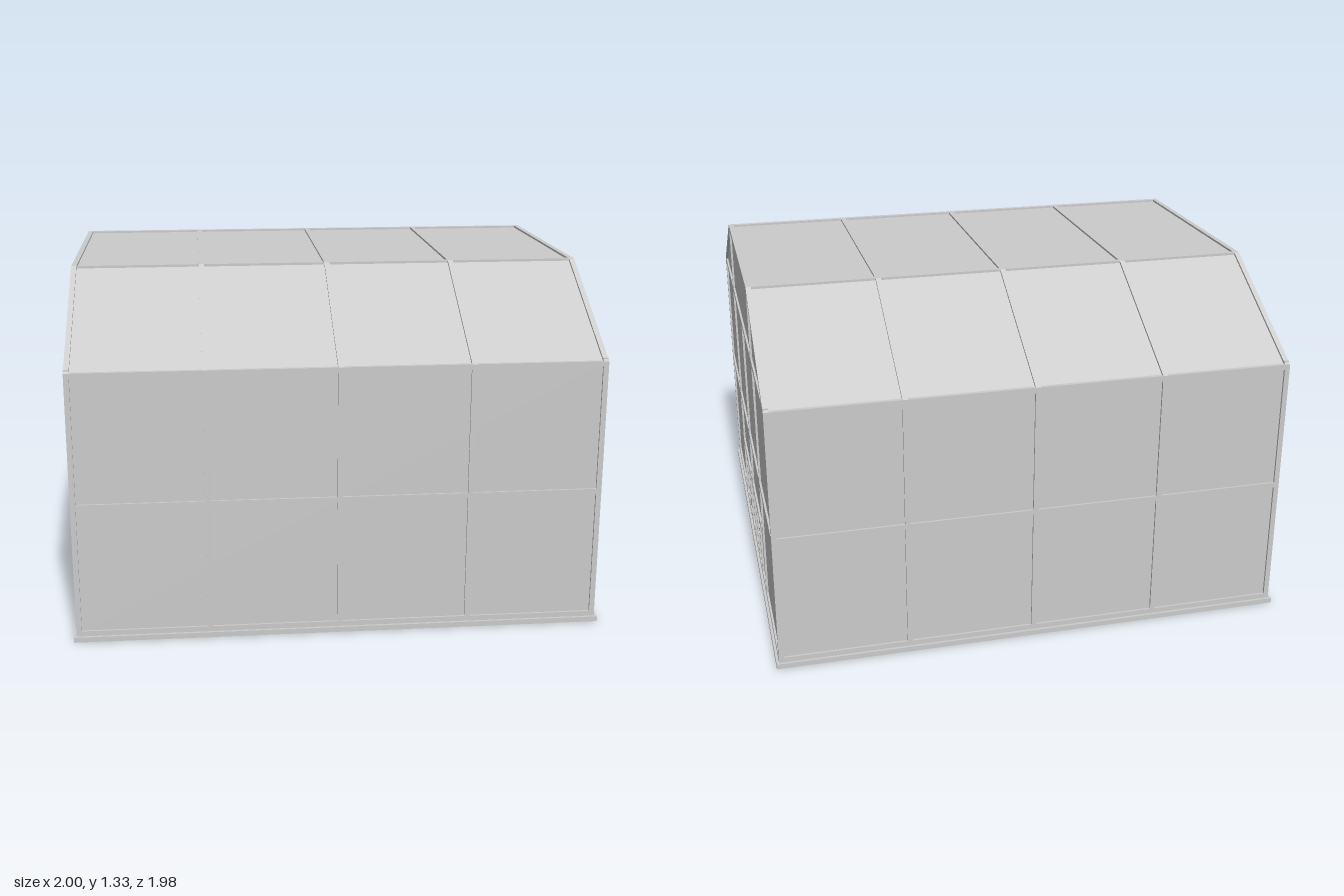
import * as THREE from 'three';

const T = 0.02;   // bar thickness
const X = 0.98;   // centre plane of the end frames

// Gambrel-shaped house section, moved inward by d with mitred corners
function section(d) {
  const half = [
    [0.98 - d, 0.02 + d],
    [0.98 - d, 1.035 - 0.58 * d],
    [0.466 - 0.27 * d, 1.33 - d],
  ];
  const mirrored = half.map(([z, y]) => [-z, y]).reverse();
  return [...half, ...mirrored].map(([z, y]) => new THREE.Vector2(z, y));
}

export function createModel() {
  const group = new THREE.Group();
  const material = new THREE.MeshStandardMaterial({ color: 0xcccccc, side: THREE.DoubleSide });

  function add(name, geometry, parent = group) {
    const mesh = new THREE.Mesh(geometry, material);
    mesh.name = name;
    parent.add(mesh);
    return mesh;
  }

  function box(name, w, h, d, x, y, z, parent = group) {
    const mesh = add(name, new THREE.BoxGeometry(w, h, d), parent);
    mesh.position.set(x, y, z);
    return mesh;
  }

  // Section extruded along x, centred on the given x
  function extrudeSection(name, outer, inner, length, x) {
    const shape = new THREE.Shape(section(outer));
    if (inner !== null) shape.holes.push(new THREE.Path(section(inner)));
    const geometry = new THREE.ExtrudeGeometry(shape, { depth: length, bevelEnabled: false });
    geometry.translate(0, 0, -length / 2).rotateY(Math.PI / 2).translate(x, 0, 0);
    return add(name, geometry);
  }

  // Floor slab
  box('floorSlab', 2, T, 1.98, 0, T / 2, 0);

  // Glazing: walls and roof as one thin sleeve, plus the two end sheets
  extrudeSection('wallAndRoofPanels', 0.008, 0.012, 2 * X, 0);
  for (const s of [-1, 1]) extrudeSection('endPanel', 0.01, null, 0.004, s * X);

  // Ribs that follow the section at each bay
  for (const x of [-X, -0.49, 0, 0.49, X]) extrudeSection('rib', 0, T, T, x);

  // Long rails at sill, mid wall, eaves and roof bend
  for (const s of [-1, 1]) {
    for (const [y, z] of [[0.03, 0.97], [0.53, 0.97], [1.025, 0.97], [1.32, 0.456]]) {
      box('longRail', 2 * X, T, T, 0, y, s * z);
    }
  }

  // End walls
  for (const side of [-1, 1]) {
    const end = new THREE.Group();
    end.name = 'endWall';
    group.add(end);
    const x = side * X;

    const post = (name, z, y0, y1, w = T) =>
      box(name, T, y1 - y0, w, x, (y0 + y1) / 2, z, end);
    const rail = (name, y, width) => box(name, T, T, width, x, y, 0, end);

    rail('eavesRail', 1.035, 1.94);
    rail('middleRail', 0.53, 1.94);
    rail('doorHeader', 0.295, 0.98);
    post('centrePost', 0, 0.03, 1.035, 0.016);

    for (const m of [-1, 1]) {
      post('wallPost', m * 0.485, 0.03, 1.035, 0.018);
      post('gablePost', m * 0.457, 1.035, 1.32, 0.016);
      post('outerDoorPost', m * 0.31, 0.03, 0.295, 0.016);
      post('innerDoorPost', m * 0.165, 0.03, 0.295, 0.016);

      // Diagonal door brace, from the outer foot to the inner head
      const brace = box('doorBrace', 0.014, Math.hypot(0.125, 0.245), 0.008,
        x, 0.163, m * 0.239, end);
      brace.rotation.x = -m * Math.atan2(0.125, 0.245);

      // Door handle
      box('doorHandle', 0.024, 0.008, 0.014, x, 0.148, m * 0.181, end);
    }
  }

  return group;
}
